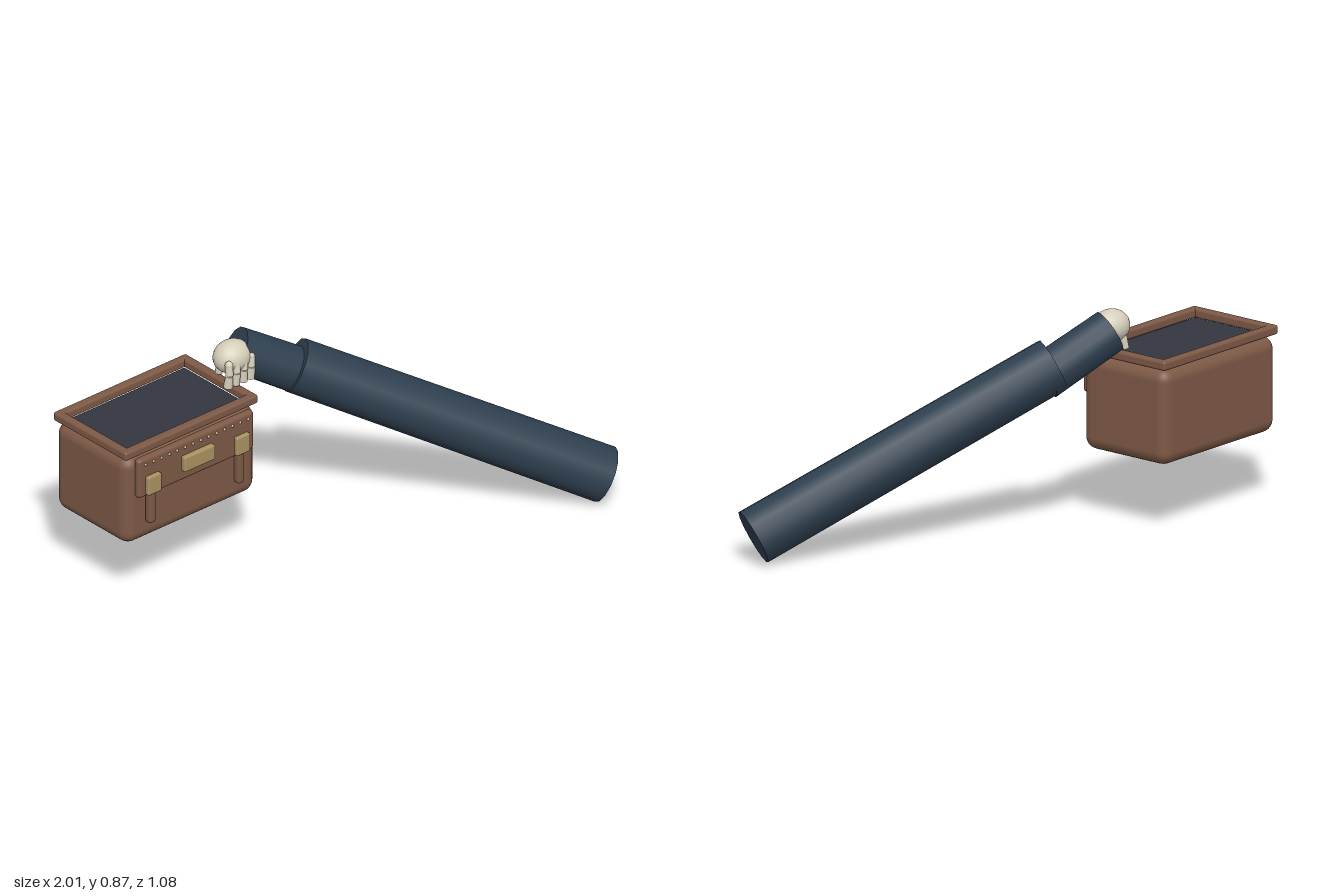
import * as THREE from 'three';
import { RoundedBoxGeometry } from 'three/addons/geometries/RoundedBoxGeometry.js';

const mat = (color) => new THREE.MeshStandardMaterial({ color });
const leather = mat(0x7d5946);
const lining = mat(0x33363f);
const brass = mat(0xa99261);
const cloth = mat(0x2e3f4f);
const bone = mat(0xd6cfbb);
const stud = mat(0xc9b9a6);

function add(parent, name, geometry, material, x = 0, y = 0, z = 0) {
  const mesh = new THREE.Mesh(geometry, material);
  mesh.name = name;
  mesh.position.set(x, y, z);
  parent.add(mesh);
  return mesh;
}

// Rounded box given by its size and centre
function block(parent, name, [w, h, d], [x, y, z], material, radius) {
  return add(parent, name, new RoundedBoxGeometry(w, h, d, 3, radius), material, x, y, z);
}

// Tapered round bar from point a to point b
function limb(parent, name, a, b, ra, rb, material, sides) {
  const from = new THREE.Vector3(...a);
  const to = new THREE.Vector3(...b);
  const axis = to.clone().sub(from);
  const mesh = add(parent, name, new THREE.CylinderGeometry(rb, ra, axis.length(), sides), material);
  mesh.position.copy(from).add(to).multiplyScalar(0.5);
  mesh.quaternion.setFromUnitVectors(new THREE.Vector3(0, 1, 0), axis.normalize());
  return mesh;
}

function makeCase() {
  const g = new THREE.Group();
  g.name = 'case';
  const cx = -0.664, cz = -0.325;
  block(g, 'caseBody', [0.666, 0.38, 0.42], [cx, 0.468, cz], leather, 0.05);

  // Raised frame round the top, with a dark panel inside
  for (const s of [-1, 1]) {
    block(g, 'rimLong', [0.674, 0.037, 0.037], [cx, 0.681, cz + s * 0.192], leather, 0.01);
    block(g, 'rimShort', [0.037, 0.037, 0.42], [cx + s * 0.318, 0.681, cz], leather, 0.01);
  }
  add(g, 'topPanel', new THREE.BoxGeometry(0.595, 0.012, 0.345), lining, cx, 0.66, cz);

  // Front flap with its row of studs
  block(g, 'flap', [0.586, 0.17, 0.034], [cx, 0.575, -0.105], leather, 0.015);
  for (let i = 0; i < 14; i++) {
    add(g, 'stud', new THREE.SphereGeometry(0.006, 8, 6), stud, cx - 0.26 + i * 0.04, 0.634, -0.087);
  }

  // Straps, buckles and name plate
  for (const s of [-1, 1]) {
    block(g, 'strap', [0.035, 0.2, 0.034], [cx + s * 0.225, 0.464, -0.1], leather, 0.012);
    block(g, 'buckle', [0.068, 0.08, 0.026], [cx + s * 0.225, 0.54, -0.084], brass, 0.007);
  }
  block(g, 'namePlate', [0.155, 0.065, 0.026], [cx, 0.568, -0.08], brass, 0.007);
  return g;
}

function makeArm() {
  const g = new THREE.Group();
  g.name = 'arm';
  const elbow = [-0.06, 0.688, -0.205];
  limb(g, 'upperSleeve', [0.938, 0.104, 0.446], elbow, 0.112, 0.108, cloth, 14);
  limb(g, 'lowerSleeve', [-0.02, 0.645, -0.19], [-0.27, 0.795, -0.31], 0.092, 0.088, cloth, 14);

  // Palm
  const palm = add(g, 'palm', new THREE.SphereGeometry(1, 20, 14), bone, -0.32, 0.798, -0.275);
  palm.scale.set(0.08, 0.066, 0.068);

  // Four fingers curling down over the rim
  for (let i = 0; i < 4; i++) {
    const x = -0.385 + i * 0.037;
    const knuckle = [x + 0.006, 0.8, -0.226];
    const joint = [x + 0.002, 0.758, -0.219];
    limb(g, 'fingerUpper', knuckle, joint, 0.016, 0.015, bone, 10);
    limb(g, 'fingerLower', joint, [x, 0.708, -0.225], 0.0145, 0.019, bone, 10);
    add(g, 'knuckle', new THREE.SphereGeometry(0.0165, 10, 8), bone, ...knuckle);
  }

  // Thumb on the far side
  limb(g, 'thumb', [-0.335, 0.79, -0.31], [-0.345, 0.712, -0.325], 0.019, 0.015, bone, 10);
  return g;
}

export function createModel() {
  const model = new THREE.Group();
  model.name = 'armHoldingCase';
  model.add(makeCase(), makeArm());
  return model;
}
